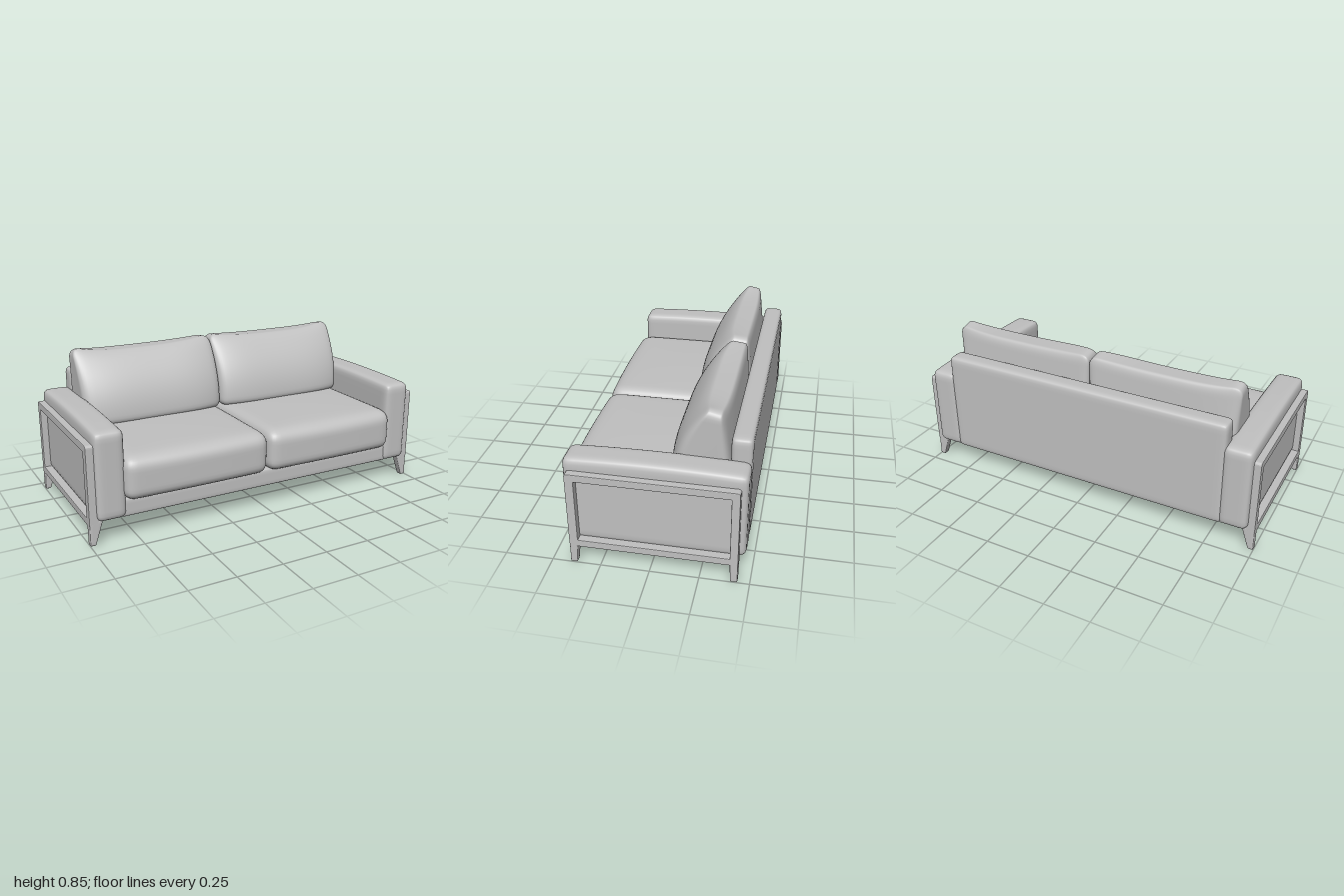
import * as THREE from 'three';
import { mergeVertices } from 'three/addons/utils/BufferGeometryUtils.js';

const fabric = new THREE.MeshStandardMaterial({ color: 0xc0c0c0 });
fabric.name = 'light grey';

// Rounded block between two corners; warp(p, u, t, w) may then move each point.
// u, w run from -1 to 1 along x and z; t runs from 0 to 1 along y.
function softBlock(min, max, radius, segments, warp) {
  const lo = new THREE.Vector3(...min), hi = new THREE.Vector3(...max);
  const mid = lo.clone().add(hi).multiplyScalar(0.5);
  const half = hi.clone().sub(mid);
  const core = half.clone().subScalar(radius), coreMin = core.clone().negate();
  let geo = new THREE.BoxGeometry(2, 2, 2, ...segments);
  geo.deleteAttribute('uv');
  geo.deleteAttribute('normal');
  geo = mergeVertices(geo, 1e-5);
  const pos = geo.attributes.position, p = new THREE.Vector3(), c = new THREE.Vector3();
  // The sine crowds the grid lines toward the rounded edges
  const crowd = (v) => Math.sin(v * Math.PI / 2);
  for (let i = 0; i < pos.count; i++) {
    p.fromBufferAttribute(pos, i);
    p.set(crowd(p.x), crowd(p.y), crowd(p.z)).multiply(half);
    c.copy(p).clamp(coreMin, core);
    p.sub(c).normalize().multiplyScalar(radius).add(c);
    const u = p.x / half.x, t = (p.y / half.y + 1) / 2, w = p.z / half.z;
    p.add(mid);
    if (warp) warp(p, u, t, w);
    pos.setXYZ(i, p.x, p.y, p.z);
  }
  geo.computeVertexNormals();
  return geo;
}

function rectangle(Path, z0, z1, y0, y1, r) {
  const s = new Path();
  s.moveTo(z0 + r, y0);
  s.lineTo(z1 - r, y0);
  s.quadraticCurveTo(z1, y0, z1, y0 + r);
  s.lineTo(z1, y1 - r);
  s.quadraticCurveTo(z1, y1, z1 - r, y1);
  s.lineTo(z0 + r, y1);
  s.quadraticCurveTo(z0, y1, z0, y1 - r);
  s.lineTo(z0, y0 + r);
  s.quadraticCurveTo(z0, y0, z0 + r, y0);
  return s;
}

export function createModel() {
  const sofa = new THREE.Group();
  sofa.name = 'sofa';
  const add = (name, geo) => {
    const mesh = new THREE.Mesh(geo, fabric);
    mesh.name = name;
    sofa.add(mesh);
  };

  // Seat base and backrest
  add('seatBase', softBlock([-0.84, 0.125, -0.46], [0.84, 0.225, 0.415], 0.015, [32, 8, 24]));
  add('backrest', softBlock([-0.825, 0.125, -0.472], [0.825, 0.707, -0.365], 0.028, [32, 20, 10]));

  for (const s of [1, -1]) {
    const side = s > 0 ? 'left' : 'right';
    const span = (a, b) => (s > 0 ? [a, b] : [-b, -a]);

    // Padded arm, its top falling slightly toward both ends
    const [a0, a1] = span(0.805, 0.963);
    add(side + 'Arm', softBlock([a0, 0.125, -0.472], [a1, 0.602, 0.428], 0.035, [12, 18, 24],
      (p, u, t, w) => { p.y -= 0.012 * w * w * t; }));

    // Seat cushion with a bulging front and slightly crowned top
    const [c0, c1] = span(0.001, 0.822);
    add(side + 'SeatCushion', softBlock([c0, 0.215, -0.36], [c1, 0.45, 0.462], 0.06, [26, 16, 26],
      (p, u, t, w) => {
        const crown = 1 - u * u;
        if (w > 0) p.z += 0.012 * crown * w ** 8;
        p.y += 0.01 * crown * t * (1 - w * w);
        if (w > 0.7) p.y -= 0.012 * t * ((w - 0.7) / 0.3) ** 2;
      }));

    // Back cushion: leaning, rounded front, raised upper corners
    const [b0, b1] = span(0.001, 0.825);
    add(side + 'BackCushion', softBlock([b0, 0.44, -0.37], [b1, 0.825, -0.05], 0.045, [32, 24, 20],
      (p, u, t, w) => {
        const out = u * s;
        const front = -0.05 - 0.17 * t ** 2.3 - 0.045 * u ** 4;
        const back = -0.375 + 0.03 * t + (out > 0 ? 0.02 * out ** 3 * t : 0);
        p.z = THREE.MathUtils.lerp(back, front, (w + 1) / 2);
        p.y += (out > 0 ? 0.038 * out ** 4 : 0.024 * out * out) * t * t * (0.7 + 0.3 * w);
        if (out > 0) p.x += s * 0.014 * out ** 4 * t;
      }));

    // Open frame on the outer face of the arm
    const outline = rectangle(THREE.Shape, -0.436, 0.401, 0.106, 0.526, 0.012);
    outline.holes.push(rectangle(THREE.Path, -0.403, 0.364, 0.137, 0.493, 0.006));
    const frame = new THREE.ExtrudeGeometry(outline, {
      depth: 0.042, bevelThickness: 0.004, bevelSize: 0.004, bevelSegments: 2, curveSegments: 4,
    });
    frame.translate(0, 0, -0.021);
    frame.rotateY(-Math.PI / 2);
    frame.translate(s * 0.975, 0, 0);
    add(side + 'SideFrame', frame);

    // Tapered feet, sloping outward under the frame corners
    const [l0, l1] = span(0.925, 1);
    for (const [z0, z1, end] of [[0.358, 0.405, 'Front'], [-0.44, -0.393, 'Back']]) {
      add(side + end + 'Leg', softBlock([l0, 0, z0], [l1, 0.135, z1], 0.01, [8, 12, 8],
        (p, u, t, w) => {
          const k = Math.max(0, 1 - t);
          p.x += s * k * 0.046 * (1 - u * s) / 2;
          const inner = end === 'Front' ? (1 - w) / 2 : (1 + w) / 2;
          p.z += (end === 'Front' ? 1 : -1) * 0.01 * Math.sqrt(k) * inner;
        }));
    }
  }
  return sofa;
}
